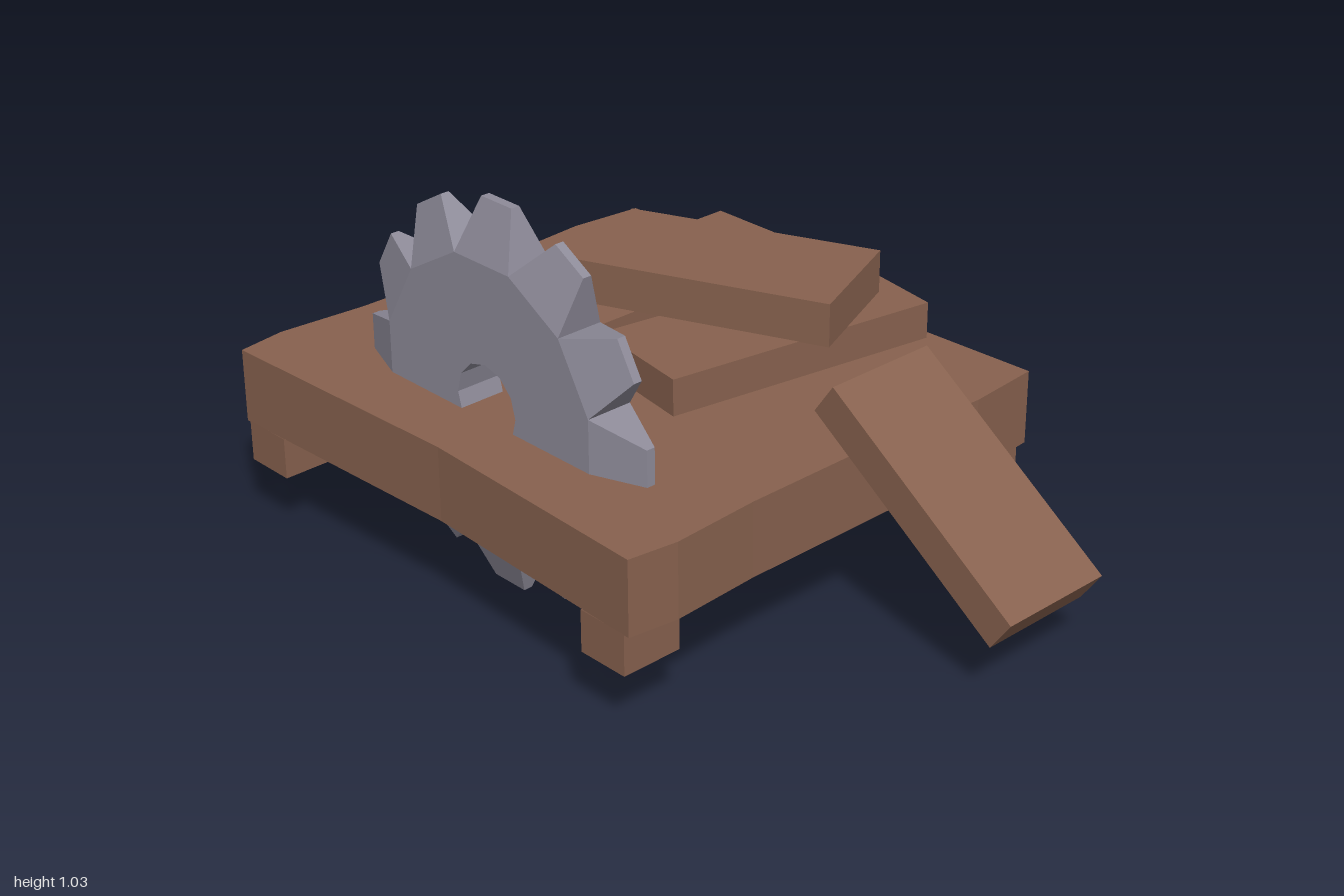
import * as THREE from 'three';

export function createModel() {
  const wood = new THREE.MeshStandardMaterial({ color: 0x87614e, flatShading: true, side: THREE.DoubleSide });
  wood.name = 'brown wood';
  const steel = new THREE.MeshStandardMaterial({ color: 0x8e8b99, flatShading: true });
  steel.name = 'grey steel';

  const model = new THREE.Group();
  model.name = 'sawTable';

  function add(parent, name, geometry, material, x = 0, y = 0, z = 0) {
    const mesh = new THREE.Mesh(geometry, material);
    mesh.name = name;
    mesh.position.set(x, y, z);
    parent.add(mesh);
    return mesh;
  }

  // Vertical walls around a closed outline of [x, z] points, open above and below
  function wallGeometry(outline, y0, y1) {
    const pos = [];
    outline.forEach(([ax, az], i) => {
      const [bx, bz] = outline[(i + 1) % outline.length];
      pos.push(ax, y0, az, bx, y0, bz, bx, y1, bz);
      pos.push(ax, y0, az, bx, y1, bz, ax, y1, az);
    });
    const g = new THREE.BufferGeometry();
    g.setAttribute('position', new THREE.Float32BufferAttribute(pos, 3));
    g.computeVertexNormals();
    return g;
  }

  // Table: a slightly wavy, hollow slab that is open underneath
  const table = new THREE.Group();
  table.name = 'table';
  model.add(table);
  const outline = [
    [-0.98, 0.685], [-0.22, 0.655], [0.482, 0.685], [0.5, 0.55], [0.485, 0.3],
    [0.485, -0.2], [0.5, -0.46], [0.482, -0.672], [-0.22, -0.642], [-0.98, -0.672],
    [-1, -0.46], [-0.98, -0.2], [-0.98, 0.3], [-1, 0.55],
  ];
  const topShape = new THREE.Shape(outline.map(([x, z]) => new THREE.Vector2(x, -z)));
  add(table, 'tableTop', new THREE.ShapeGeometry(topShape).rotateX(-Math.PI / 2), wood, 0, 0.473, 0);
  add(table, 'tableSides', wallGeometry(outline, 0.272, 0.473), wood);

  // Hollow stub legs at the four corners
  for (const x of [-0.895, 0.393]) {
    for (const z of [0.6, -0.575]) {
      const w = 0.073, d = 0.085;
      const square = [[-w, d], [w, d], [w, -d], [-w, -d]];
      add(table, 'leg', wallGeometry(square, 0.163, 0.275), wood, x, 0, z);
    }
  }

  // Saw blade: twelve-sided disc with a round hole
  const blade = new THREE.Group();
  blade.name = 'sawBlade';
  blade.position.set(-0.243, 0.515, 0.42);
  model.add(blade);
  const teeth = 12, thickness = 0.13, radius = 0.385;
  const ring = (r, shift) => Array.from({ length: teeth }, (_, i) => {
    const a = ((i + shift) / teeth) * Math.PI * 2;
    return new THREE.Vector2(Math.cos(a) * r, Math.sin(a) * r);
  });
  const disc = new THREE.Shape(ring(radius, 0.5));
  disc.holes.push(new THREE.Path(ring(0.108, 0)));
  const discGeometry = new THREE.ExtrudeGeometry(disc, { depth: thickness, bevelEnabled: false });
  add(blade, 'bladeDisc', discGeometry.translate(0, 0, -thickness / 2), steel);

  // Teeth: wedges as wide as a disc side, narrowing to a thin tip
  const base = radius * Math.cos(Math.PI / teeth);
  const rootWidth = 2 * radius * Math.sin(Math.PI / teeth);
  const tooth = new THREE.BoxGeometry(1, 1, 1);
  const p = tooth.attributes.position;
  for (let i = 0; i < p.count; i++) {
    const tip = p.getY(i) > 0;
    p.setXYZ(i, p.getX(i) * (tip ? 0.11 : rootWidth), tip ? 0.514 : base, p.getZ(i) * (tip ? 0.024 : thickness));
  }
  tooth.computeVertexNormals();
  for (let i = 0; i < teeth; i++) {
    add(blade, 'tooth', tooth, steel).rotation.z = (i / teeth) * Math.PI * 2;
  }

  // Planks stacked on the table, the lower two sunk slightly into it
  const planks = [
    ['leftPlank', 0.325, 0.795, -0.465, 0.514, -0.272, 0],
    ['rightPlank', 0.322, 0.785, -0.047, 0.514, -0.27, -0.16],
    ['upperPlank', 0.36, 0.7, -0.21, 0.63, -0.288, -1.17],
  ];
  for (const [name, w, l, x, y, z, turn] of planks) {
    add(model, name, new THREE.BoxGeometry(w, 0.117, l), wood, x, y, z).rotation.y = turn;
  }

  // Plank leaning against the table's side
  const leaning = add(model, 'leaningPlank', new THREE.BoxGeometry(0.697, 0.1, 0.328), wood, 0.685, 0.394, -0.178);
  leaning.rotation.z = -0.612;

  return model;
}
